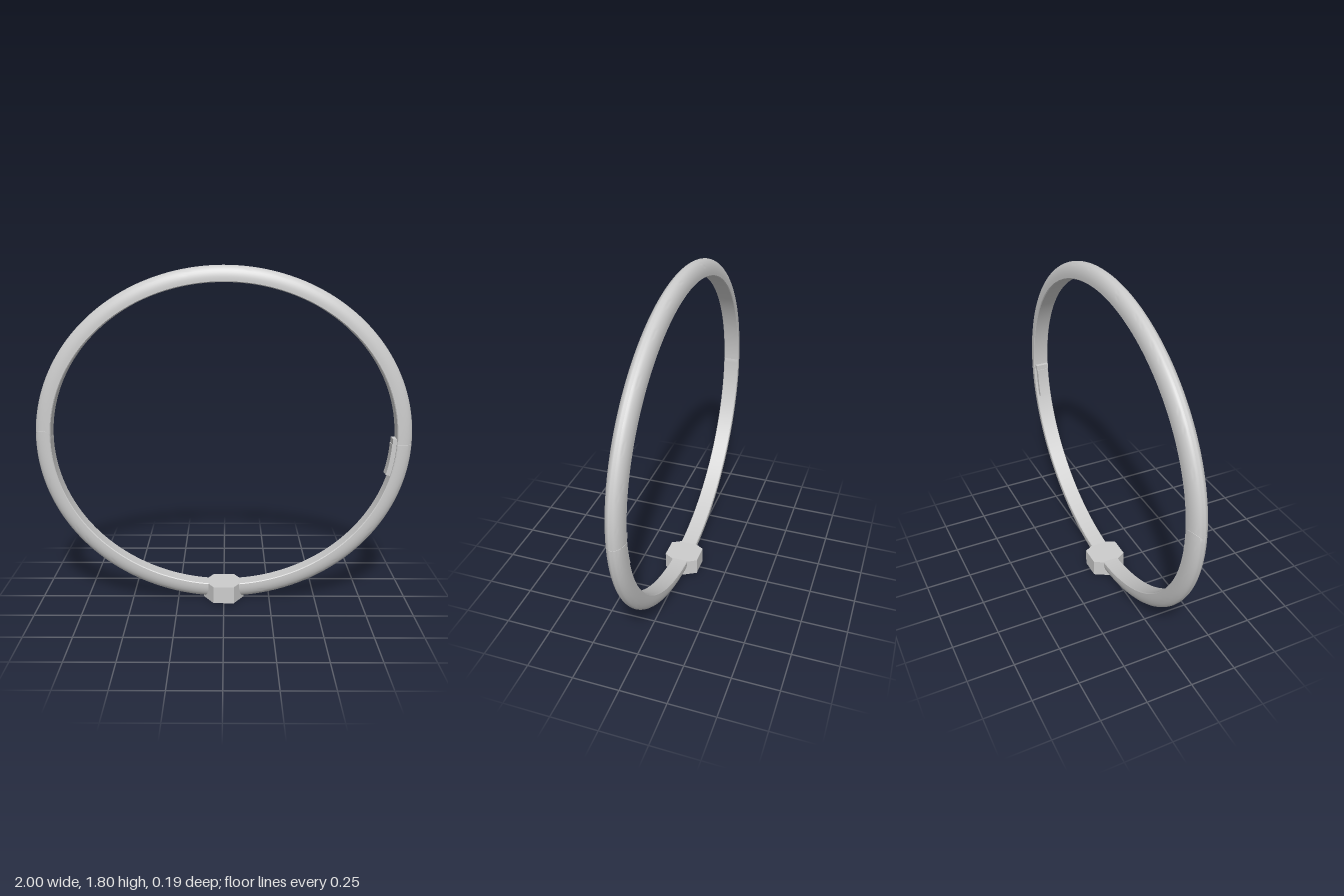
import * as THREE from 'three';
import { mergeVertices, toCreasedNormals } from 'three/addons/utils/BufferGeometryUtils.js';

const A = 1, B = 0.9, CY = 0.905;      // outer half-axes and centre height of the oval
const DEPTH = 0.085, HALF = 0.045;     // band thickness and half width

// Point on the oval at angle t, sunk by depth d, offset sideways by z
const ovalPoint = (t, d, z) => [(A - d) * Math.cos(t), CY + (B - d) * Math.sin(t), z];

// Closed sweep of a mirrored section [depth, z] along the oval.
// Start and end angles are functions of depth, so ends may be curved.
function sweepOval(section, start, end, steps) {
  const n = section.length, pos = [];
  const P = (i, j) => {
    const [d, z] = section[j % n];
    return ovalPoint(THREE.MathUtils.lerp(start(d), end(d), i / steps), d, z);
  };
  const quad = (a, b, c, d) => pos.push(...a, ...b, ...c, ...a, ...c, ...d);
  for (let i = 0; i < steps; i++)
    for (let j = 0; j < n; j++) quad(P(i, j), P(i, j + 1), P(i + 1, j + 1), P(i + 1, j));
  // End caps, joined between mirrored points
  for (let j = 0; j < Math.floor(n / 2); j++) {
    const k = n - 1 - j;
    if (j + 1 === k) continue;
    for (const [i, flip] of [[0, true], [steps, false]]) {
      const q = [P(i, j), P(i, j + 1), P(i, k - 1), P(i, k)];
      if (flip) q.reverse();
      if (j + 1 === k - 1) {
        const tri = flip ? [q[0], q[1], q[3]] : [q[0], q[1], q[3]];
        pos.push(...tri.flat());
      } else quad(...q);
    }
  }
  const geo = new THREE.BufferGeometry();
  geo.setAttribute('position', new THREE.Float32BufferAttribute(pos, 3));
  return toCreasedNormals(mergeVertices(geo, 1e-5), 0.6);
}

// D-shaped band section: flat inside, domed outside
function bandSection() {
  const pts = [[DEPTH, HALF - 0.004], [DEPTH - 0.004, HALF]];
  const dome = 0.07, n = 18;
  for (let i = 0; i <= n; i++) {
    const a = (i / n) * Math.PI;
    pts.push([dome * (1 - Math.sin(a)), HALF * Math.cos(a)]);
  }
  pts.push([DEPTH - 0.004, -HALF], [DEPTH, -HALF + 0.004]);
  return pts;
}

const boxSection = (d0, d1, w) => [[d1, w], [d0, w], [d0, -w], [d1, -w]];

export function createModel() {
  const group = new THREE.Group();
  const mat = new THREE.MeshStandardMaterial({ color: 0xcccccc });
  const add = (name, geo) => {
    const mesh = new THREE.Mesh(geo, mat);
    mesh.name = name;
    group.add(mesh);
    return mesh;
  };

  // Two hinged halves: straight seam at the clasp, rounded seam at the hinge
  const clasp = -0.036, gap = 0.001;
  const hinge = (d) => {
    const u = (d - DEPTH / 2) / (DEPTH / 2);
    return Math.PI - 0.015 - 0.035 * Math.sqrt(Math.max(0, 1 - u * u));
  };
  const band = bandSection();
  add('upperBand', sweepOval(band, () => clasp + gap, (d) => hinge(d) - gap, 110));
  add('lowerBand', sweepOval(band, (d) => hinge(d) + gap, () => 2 * Math.PI + clasp - gap, 110));

  // Clasp on the inner wall: a tongue with a lip over the seam
  add('claspTongue', sweepOval(boxSection(0.075, 0.109, 0.032), () => -0.25, () => clasp - gap, 10));
  add('claspLip', sweepOval(boxSection(0.075, 0.106, 0.037), () => clasp, () => 0, 3));

  // Hexagonal block at the bottom, corners pointing along the band
  const block = new THREE.CylinderGeometry(0.11, 0.11, 0.093, 6).toNonIndexed();
  block.rotateY(Math.PI / 2);
  block.computeVertexNormals();
  add('hexBlock', block).position.y = 0.0465;

  return group;
}
